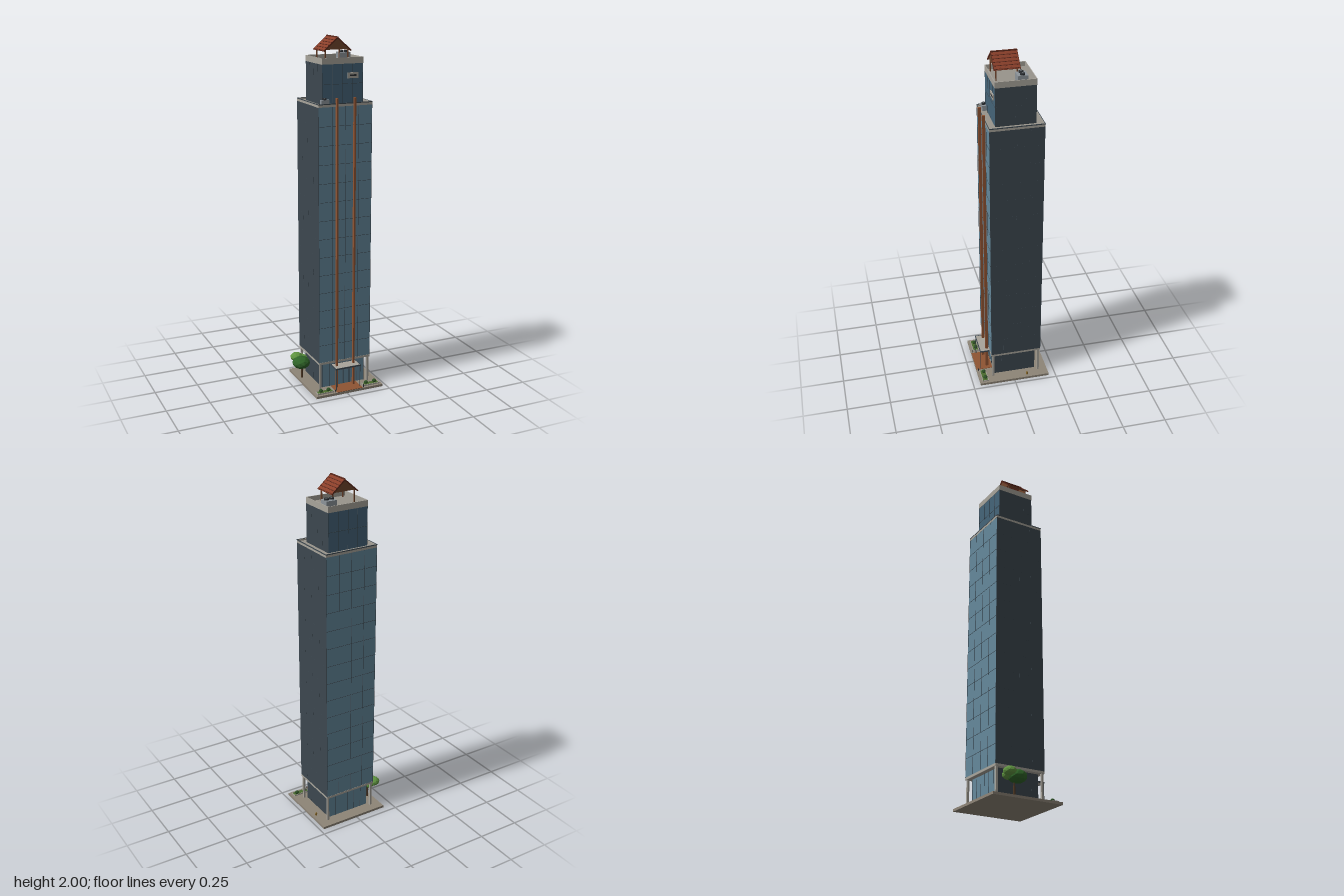
import * as THREE from 'three';

const mat = (color, flatShading = false) => new THREE.MeshStandardMaterial({ color, flatShading });
const M = {
  glass: mat(0x64889b), darkGlass: mat(0x456479), frame: mat(0x3c474f), stone: mat(0xa8a49b), deck: mat(0x98948b),
  paving: mat(0x8e8577), copper: mat(0x8f5433), wood: mat(0x70452c), tile: mat(0x8a3f2a), tileDark: mat(0x5e2a1d),
  metal: mat(0x8d949a), dark: mat(0x2c3034), lawn: mat(0x4a6b2e), brass: mat(0x8a6a2c), bark: mat(0x4e3824),
  leaf: mat(0x2f6428, true), leafLight: mat(0x5f9440, true), shrub: mat(0x2c4f24, true),
};

export function createModel() {
  const root = new THREE.Group();
  const add = (name, geo, m, x, y, z, parent = root) => {
    const mesh = new THREE.Mesh(geo, m);
    mesh.name = name;
    mesh.position.set(x, y, z);
    parent.add(mesh);
    return mesh;
  };
  // box given by its limits on each axis
  const box = (name, m, x0, x1, y0, y1, z0, z1, parent) =>
    add(name, new THREE.BoxGeometry(x1 - x0, y1 - y0, z1 - z0), m, (x0 + x1) / 2, (y0 + y1) / 2, (z0 + z1) / 2, parent);
  const group = (name) => {
    const g = new THREE.Group();
    g.name = name;
    root.add(g);
    return g;
  };
  // four walls around a rectangle
  const ring = (name, m, x0, x1, y0, y1, z0, z1, t, parent) => {
    box(name, m, x0, x1, y0, y1, z1 - t, z1, parent);
    box(name, m, x0, x1, y0, y1, z0, z0 + t, parent);
    box(name, m, x0, x0 + t, y0, y1, z0 + t, z1 - t, parent);
    box(name, m, x1 - t, x1, y0, y1, z0 + t, z1 - t, parent);
  };
  // glazed block with a grid of slim mullions and floor bands
  const glazedBlock = (name, m, x0, x1, y0, y1, z0, z1, cols, floors) => {
    const g = group(name), e = 0.0012, w = 0.001;
    box('glassBody', m, x0, x1, y0, y1, z0, z1, g);
    for (let i = 0; i <= cols; i++) {
      const x = x0 + (x1 - x0) * i / cols, z = z0 + (z1 - z0) * i / cols;
      box('mullion', M.frame, x - w, x + w, y0, y1, z0 - e, z1 + e, g);
      if (i > 0 && i < cols) box('mullion', M.frame, x0 - e, x1 + e, y0, y1, z - w, z + w, g);
    }
    for (let i = 1; i < floors; i++) {
      const y = y0 + (y1 - y0) * i / floors;
      box('floorBand', M.frame, x0 - e, x1 + e, y - w, y + w, z0 - e, z1 + e, g);
    }
  };

  // Plaza
  box('plaza', M.paving, -0.19, 0.227, 0, 0.014, -0.209, 0.208);
  box('entrancePath', M.copper, -0.06, 0.098, 0.01, 0.0165, 0.11, 0.207);

  // Lobby, columns and overhang
  glazedBlock('lobby', M.glass, -0.112, 0.15, 0.014, 0.166, -0.137, 0.106, 6, 1);
  for (const x of [-0.13, 0.168]) for (const z of [-0.155, 0.12])
    box('cornerColumn', M.stone, x - 0.006, x + 0.006, 0.014, 0.168, z - 0.006, z + 0.006);
  box('overhang', M.stone, -0.14, 0.178, 0.165, 0.178, -0.166, 0.131);

  // Tower shaft and setback storey
  glazedBlock('tower', M.glass, -0.139, 0.177, 0.178, 1.636, -0.165, 0.13, 4, 14);
  box('towerDeck', M.deck, -0.138, 0.176, 1.636, 1.643, -0.164, 0.129);
  ring('towerParapet', M.stone, -0.14, 0.178, 1.636, 1.652, -0.166, 0.131, 0.005);
  ring('parapetCap', M.frame, -0.141, 0.179, 1.649, 1.654, -0.167, 0.132, 0.003);
  glazedBlock('setback', M.darkGlass, -0.101, 0.139, 1.643, 1.858, -0.127, 0.091, 4, 2);
  box('roofDeck', M.deck, -0.1, 0.138, 1.858, 1.864, -0.126, 0.09);
  ring('roofParapet', M.stone, -0.103, 0.141, 1.857, 1.89, -0.129, 0.093, 0.004);

  // Copper fins up the front
  for (const x of [-0.034, 0.07]) box('copperFin', M.copper, x - 0.005, x + 0.005, 0.015, 1.682, 0.13, 0.146);

  // Entrance canopy and door
  const canopy = group('canopy');
  box('canopyTop', M.stone, -0.056, 0.094, 0.142, 0.148, 0.106, 0.179, canopy);
  ring('canopyFrame', M.frame, -0.06, 0.098, 0.141, 0.149, 0.106, 0.183, 0.004, canopy);
  for (const x of [-0.055, 0.093])
    add('canopyPost', new THREE.CylinderGeometry(0.002, 0.002, 0.128, 8), M.frame, x, 0.078, 0.18, canopy);
  for (const x of [-0.016, 0.018, 0.052]) box('doorFrame', M.frame, x, x + 0.003, 0.015, 0.11, 0.106, 0.109);
  box('doorHead', M.frame, -0.016, 0.055, 0.108, 0.113, 0.106, 0.109);

  // Planters with shrubs
  for (const [x0, shrubs] of [[-0.175, [-0.148, -0.102]], [0.115, [0.136, 0.189]]]) {
    const planter = group('planter');
    ring('planterRim', M.stone, x0, x0 + 0.098, 0.014, 0.022, 0.157, 0.193, 0.003, planter);
    box('grass', M.lawn, x0 + 0.003, x0 + 0.095, 0.014, 0.02, 0.16, 0.19, planter);
    shrubs.forEach((x, i) => {
      const s = add('shrub', new THREE.IcosahedronGeometry(0.012, 1), M.shrub, x, 0.028, 0.172, planter);
      s.scale.set(1, 0.85, 1);
      s.rotation.y = i + x * 9;
    });
  }
  for (const x of [-0.07, 0.108]) add('bollard', new THREE.CylinderGeometry(0.002, 0.002, 0.016, 8), M.dark, x, 0.022, 0.198);

  // Hydrant
  const hydrant = group('hydrant');
  hydrant.position.set(0.203, 0.014, -0.08);
  add('hydrantBody', new THREE.CylinderGeometry(0.005, 0.006, 0.014, 8), M.brass, 0, 0.007, 0, hydrant);
  add('hydrantCap', new THREE.SphereGeometry(0.005, 8, 6), M.brass, 0, 0.014, 0, hydrant);
  add('hydrantOutlet', new THREE.CylinderGeometry(0.002, 0.002, 0.016, 6), M.brass, 0, 0.01, 0, hydrant).rotation.z = Math.PI / 2;

  // Tree
  const tree = group('tree');
  add('trunk', new THREE.CylinderGeometry(0.004, 0.007, 0.09, 7), M.bark, -0.165, 0.056, -0.07, tree);
  for (const [x, y, z, r, m] of [[-0.174, 0.115, -0.058, 0.053, M.leaf], [-0.155, 0.122, -0.096, 0.036, M.leafLight],
    [-0.184, 0.134, -0.106, 0.037, M.leafLight]])
    add('foliage', new THREE.IcosahedronGeometry(r, 1), m, x, y, z, tree).scale.y = 0.7;

  // Rooftop ventilation units
  const unit = (x0, x1, y0, y1, z0, z1, fans, r) => {
    const g = group('ventilationUnit');
    box('unitBody', M.metal, x0, x1, y0, y1, z0, z1, g);
    for (const x of fans) {
      add('fan', new THREE.CylinderGeometry(r, r, 0.009, 16), M.dark, x, y1 + 0.0045, (z0 + z1) / 2, g);
      add('fanHub', new THREE.CylinderGeometry(r * 0.3, r * 0.3, 0.01, 8), M.metal, x, y1 + 0.005, (z0 + z1) / 2, g);
    }
  };
  unit(0.061, 0.124, 1.864, 1.905, -0.087, -0.031, [0.077, 0.108], 0.013);
  unit(-0.115, -0.068, 1.643, 1.672, 0.093, 0.115, [-0.092], 0.011);

  // Wall vent panel
  box('wallPanel', M.stone, 0.048, 0.111, 1.779, 1.81, 0.09, 0.096);
  box('panelSlot', M.dark, 0.06, 0.099, 1.79, 1.799, 0.095, 0.097);

  // Roof pavilion with tiled gable
  const pavilion = group('pavilion');
  pavilion.position.set(-0.006, 0, 0.012);
  for (const x of [-0.066, 0.066]) {
    for (const z of [-0.056, 0.056]) box('post', M.wood, x - 0.003, x + 0.003, 1.864, 1.938, z - 0.003, z + 0.003, pavilion);
    box('eaveBeam', M.wood, x - 0.004, x + 0.004, 1.93, 1.937, -0.062, 0.062, pavilion);
  }
  const gable = new THREE.Shape([[-0.07, 1.932], [0.07, 1.932], [0, 1.993]].map(([x, y]) => new THREE.Vector2(x, y)));
  for (const z of [-0.064, 0.06])
    add('gable', new THREE.ExtrudeGeometry(gable, { depth: 0.004, bevelEnabled: false }), M.wood, 0, 0, z, pavilion);
  for (const side of [-1, 1]) {
    const slope = new THREE.Group();
    slope.name = 'roofSlope';
    slope.position.set(0, 1.996, 0);
    slope.rotation.y = side < 0 ? Math.PI : 0;
    const pitch = new THREE.Group();
    pitch.rotation.z = -Math.atan2(0.07, 0.081);
    slope.add(pitch);
    pavilion.add(slope);
    box('roofSheet', M.tile, 0, 0.107, -0.003, 0.001, -0.069, 0.069, pitch);
    for (let i = 1; i <= 5; i++) box('roofCourse', M.tileDark, i * 0.02, i * 0.02 + 0.004, 0, 0.0025, -0.069, 0.069, pitch);
    for (const z of [-0.069, 0.069]) box('bargeBoard', M.tileDark, 0, 0.107, -0.005, 0.002, z - 0.0015, z + 0.0015, pitch);
  }
  box('ridgeCap', M.tileDark, -0.004, 0.004, 1.994, 2, -0.07, 0.07, pavilion);

  return root;
}
